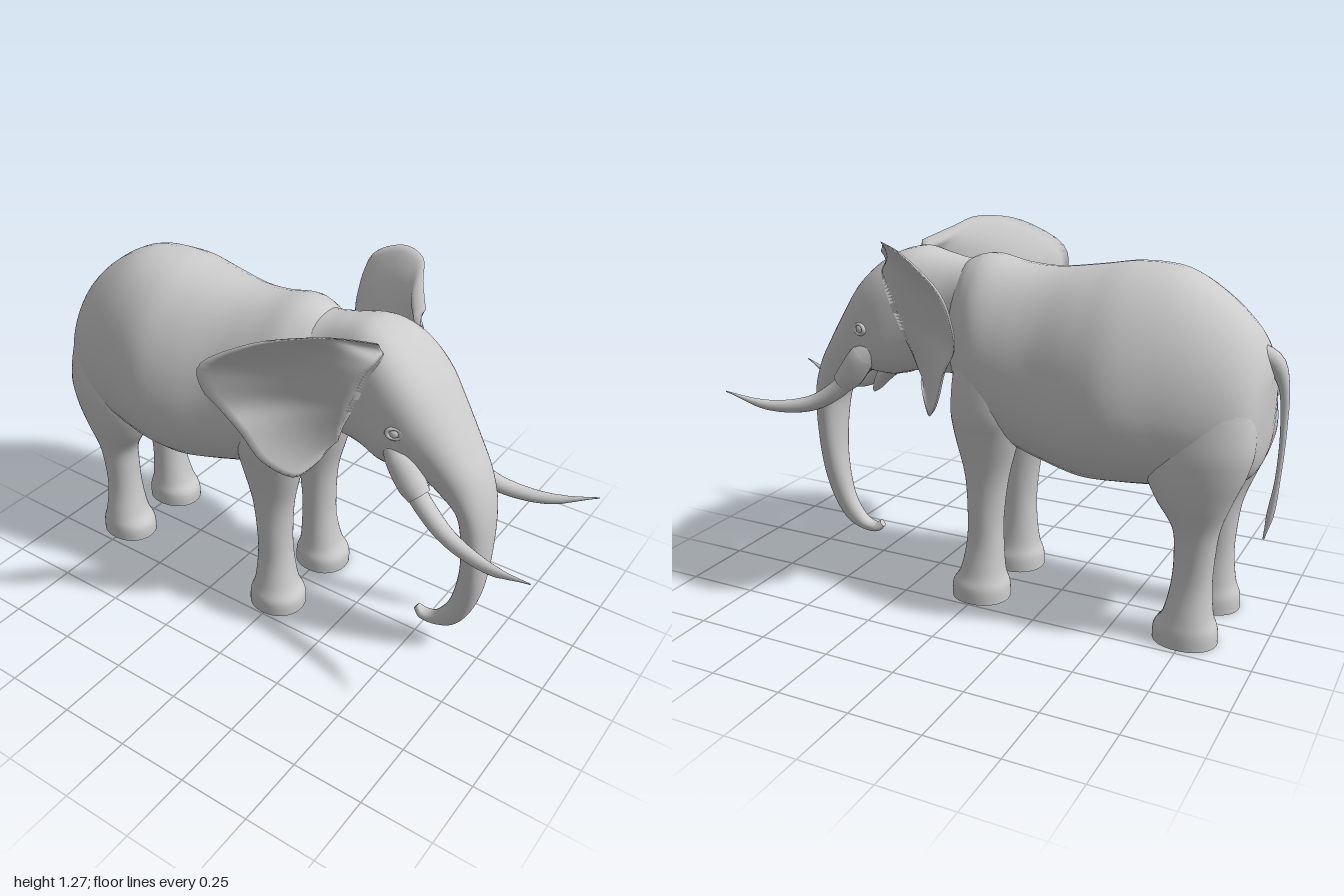
import * as THREE from 'three';

const skinMat = new THREE.MeshStandardMaterial({ color: 0xcccccc, roughness: 0.8 });
const earMat = new THREE.MeshStandardMaterial({ color: 0xcccccc, roughness: 0.8, side: THREE.DoubleSide });

// Closed surface through rings of equal point count, ends capped at their centres.
function skin(rings) {
  const n = rings[0].length;
  const centre = r => r.reduce((s, p) => s.add(p), new THREE.Vector3()).divideScalar(n);
  const cap = r => Array(n).fill(centre(r));
  const first = rings[0], last = rings[rings.length - 1];
  const all = [cap(first), ...rings, last, cap(last)];
  const pos = [], idx = [];
  all.forEach(r => r.forEach(p => pos.push(p.x, p.y, p.z)));
  for (let i = 0; i < all.length - 1; i++) {
    if (i === all.length - 3) continue; // hard edge before the end cap
    for (let j = 0; j < n; j++) {
      const a = i * n + j, b = i * n + (j + 1) % n;
      idx.push(a, a + n, b, b, a + n, b + n);
    }
  }
  const g = new THREE.BufferGeometry();
  g.setAttribute('position', new THREE.Float32BufferAttribute(pos, 3));
  g.setIndex(idx);
  g.computeVertexNormals();
  return g;
}

// Smooth in-betweens for rows of numbers.
function refine(rows, steps) {
  const out = [], last = rows.length - 1;
  for (let i = 0; i < last; i++) {
    const [a, b, c, d] = [rows[Math.max(i - 1, 0)], rows[i], rows[i + 1], rows[Math.min(i + 2, last)]];
    for (let s = 0; s < steps; s++) {
      const t = s / steps;
      out.push(b.map((v, k) => v + 0.5 * t * (c[k] - a[k]
        + t * (2 * a[k] - 5 * v + 4 * c[k] - d[k] + t * (3 * (v - c[k]) + d[k] - a[k])))));
    }
  }
  out.push(rows[last]);
  return out;
}

// Oval sections: [zA, yA, zB, yB, halfWidth, xCentre, squareness]; A is the top/front, B the bottom/back.
function loft(stations, pear = 0) {
  const sides = 40;
  return skin(refine(stations, 5).map(([zA, yA, zB, yB, w, cx = 0, power = 0.94]) => {
    const soft = v => Math.sign(v) * Math.abs(v) ** power;
    return Array.from({ length: sides }, (_, j) => {
      const t = j / sides * Math.PI * 2, c = soft(Math.cos(t)), s = soft(Math.sin(t));
      return new THREE.Vector3(cx + w * s * (1 - pear * c),
        (yA + yB) / 2 + c * (yA - yB) / 2, (zA + zB) / 2 + c * (zA - zB) / 2);
    });
  }));
}

// Round tube whose radius follows a list; points are [x, y, z, radius].
function taperTube(points) {
  const segs = 32, sides = 16;
  const curve = new THREE.CatmullRomCurve3(points.map(p => new THREE.Vector3(...p)));
  const radii = refine(points.map(p => [p[3]]), 20);
  const { normals, binormals } = curve.computeFrenetFrames(segs);
  const rings = [];
  for (let i = 0; i <= segs; i++) {
    const u = curve.getUtoTmapping(i / segs);
    const r = radii[Math.round(u * (radii.length - 1))][0];
    rings.push(Array.from({ length: sides }, (_, j) => {
      const t = -j / sides * Math.PI * 2;
      return curve.getPoint(u).addScaledVector(normals[i], r * Math.cos(t))
        .addScaledVector(binormals[i], r * Math.sin(t));
    }));
  }
  return skin(rings);
}

// Ear: ribs fan from the root to the rim, cupped, with a thin closed section.
function earGeometry() {
  const ribs = [ // root x, y, z, rim x, y, z
    [.11, 1.15, .38, .14, 1.195, .38], [.12, 1.14, .385, .24, 1.235, .31],
    [.14, 1.12, .38, .34, 1.265, .25], [.155, 1.09, .365, .43, 1.245, .12],
    [.16, 1.05, .35, .482, 1.155, -.03], [.16, 1.01, .335, .45, 1.04, -.058],
    [.16, .97, .315, .395, .945, -.035], [.155, .92, .295, .365, .86, .02],
    [.15, .87, .27, .325, .75, .07], [.145, .83, .255, .25, .672, .14],
    [.14, .80, .245, .20, .71, .19], [.135, .79, .24, .165, .76, .22]];
  const N = 12;
  return skin(refine(ribs, 4).map(r => {
    const root = new THREE.Vector3(r[0], r[1], r[2]), rim = new THREE.Vector3(r[3], r[4], r[5]);
    const len = root.distanceTo(rim);
    return Array.from({ length: 2 * N }, (_, j) => {
      const u = (j <= N ? j : 2 * N - j) / N, bow = Math.sin(u * Math.PI);
      const p = root.clone().lerp(rim, u);
      const depth = len * bow * 0.07 + (j > N ? 0.022 * Math.sqrt(bow) : 0);
      p.x -= depth * 0.5;
      p.z -= depth;
      return p;
    });
  }));
}

export function createModel() {
  const model = new THREE.Group();
  const add = (name, geo, mat = skinMat, parent = model) => {
    const m = new THREE.Mesh(geo, mat);
    m.name = name;
    parent.add(m);
    return m;
  };
  const pair = (name, geo, mat) => {
    add(name + 'Left', geo, mat);
    add(name + 'Right', geo, mat).scale.x = -1;
  };

  // Barrel of the body, rump to chest
  add('body', loft([
    [-.95, .90, -.945, .70, .06], [-.93, .96, -.93, .60, .15], [-.88, 1.04, -.885, .54, .205],
    [-.78, 1.13, -.78, .51, .245], [-.65, 1.20, -.65, .495, .28], [-.5, 1.21, -.5, .485, .315],
    [-.37, 1.19, -.37, .48, .303], [-.22, 1.17, -.22, .51, .265], [-.1, 1.175, -.1, .55, .25],
    [0, 1.195, 0, .60, .235], [.06, 1.19, .06, .64, .205], [.11, 1.165, .1, .70, .165], [.17, 1.10, .15, .8, .09],
  ], .16));

  // Neck, skull and trunk in one sweep, squarer across the brow
  add('headAndTrunk', loft([
    [0, 1.16, 0, .74, .17, 0, .9], [.12, 1.17, .12, .76, .135, 0, .9], [.2, 1.185, .2, .76, .135, 0, .85],
    [.3, 1.20, .3, .76, .155, 0, .75], [.4, 1.165, .38, .74, .17, 0, .7], [.5, 1.08, .44, .74, .165, 0, .72],
    [.58, .97, .48, .74, .145, 0, .78], [.66, .845, .53, .72, .122, 0, .82], [.71, .76, .58, .68, .107, 0, .88],
    [.74, .66, .635, .63, .095, 0, .9], [.752, .55, .655, .54, .08, 0, .9], [.75, .40, .66, .41, .062, 0, .9],
    [.735, .28, .648, .30, .047, 0, .9], [.70, .18, .625, .21, .036, 0, .9], [.65, .11, .59, .15, .03, 0, .9],
    [.58, .08, .56, .122, .027, 0, .9], [.52, .08, .53, .115, .024, 0, .9], [.492, .105, .508, .128, .012, 0, .9],
  ]));

  // Lower jaw
  add('lowerJaw', loft([
    [.34, .84, .34, .745, .10], [.42, .80, .41, .725, .07], [.47, .76, .455, .69, .045],
    [.50, .71, .485, .66, .03], [.517, .665, .512, .643, .012]]));

  // Legs: [front z, back z, y, centre x, half width]
  const leg = rows => loft(rows.map(([f, b, y, cx, w]) => [f, y, b, y, w, cx]));
  pair('frontLeg', leg([
    [.03, -.12, 1.0, .13, .07], [.085, -.155, .85, .145, .09], [.1, -.155, .7, .15, .098], [.09, -.14, .6, .147, .083],
    [.055, -.1, .45, .14, .067], [.045, -.08, .3, .14, .064], [.05, -.08, .2, .14, .066],
    [.07, -.088, .1, .145, .08], [.098, -.104, .05, .147, .095], [.1, -.107, 0, .147, .097]]));
  pair('rearLeg', leg([
    [-.69, -.84, 1.0, .10, .05], [-.64, -.915, .85, .12, .095], [-.60, -.938, .7, .14, .112], [-.59, -.92, .6, .15, .105],
    [-.63, -.88, .5, .15, .09], [-.69, -.845, .4, .14, .071], [-.70, -.832, .3, .135, .065],
    [-.695, -.828, .2, .135, .066], [-.675, -.838, .1, .14, .08], [-.645, -.855, .05, .14, .09], [-.642, -.858, 0, .14, .092]]));

  // Toenails around the front of each foot
  for (const [foot, cx, cz, rx, rz] of [['front', .147, -.003, .091, .097], ['rear', .14, -.75, .086, .102]])
    for (const side of [1, -1])
      for (let i = 0; i < 4; i++) {
        const a = (i - 1.5) * 0.48;
        const nail = add(foot + 'Toenail', new THREE.SphereGeometry(.02, 12, 8));
        nail.scale.set(.9, 1, .35);
        nail.position.set(side * cx + rx * Math.sin(a), .022, cz + rz * Math.cos(a));
        nail.rotation.y = a;
      }

  pair('ear', earGeometry(), earMat);

  // Tusks and the fleshy sockets they grow from
  pair('tusk', taperTube([[.135, .76, .50, .034], [.15, .68, .58, .033], [.175, .622, .68, .028],
    [.215, .605, .84, .019], [.258, .648, .998, .002]]));
  pair('tuskSocket', taperTube([[.125, .87, .42, .03], [.137, .81, .475, .047], [.14, .74, .525, .048], [.145, .71, .555, .04]]));

  // Eyes with lids
  for (const side of [1, -1]) {
    const eye = new THREE.Group();
    eye.name = side > 0 ? 'eyeLeft' : 'eyeRight';
    eye.position.set(side * .156, .92, .46);
    eye.rotation.y = side * 1.2;
    add('eyeball', new THREE.SphereGeometry(.019, 16, 12), skinMat, eye);
    const lid = add('eyelid', new THREE.TorusGeometry(.024, .008, 8, 24), skinMat, eye);
    lid.scale.y = .75;
    lid.position.z = .008;
    model.add(eye);
  }

  // Tail with a thicker root and thin tuft
  add('tail', taperTube([[0, .96, -.88, .035], [0, .93, -.945, .032], [0, .86, -.978, .018], [0, .72, -.988, .011],
    [0, .55, -.982, .009], [0, .43, -.968, .012], [0, .34, -.952, .003]]));

  return model;
}
